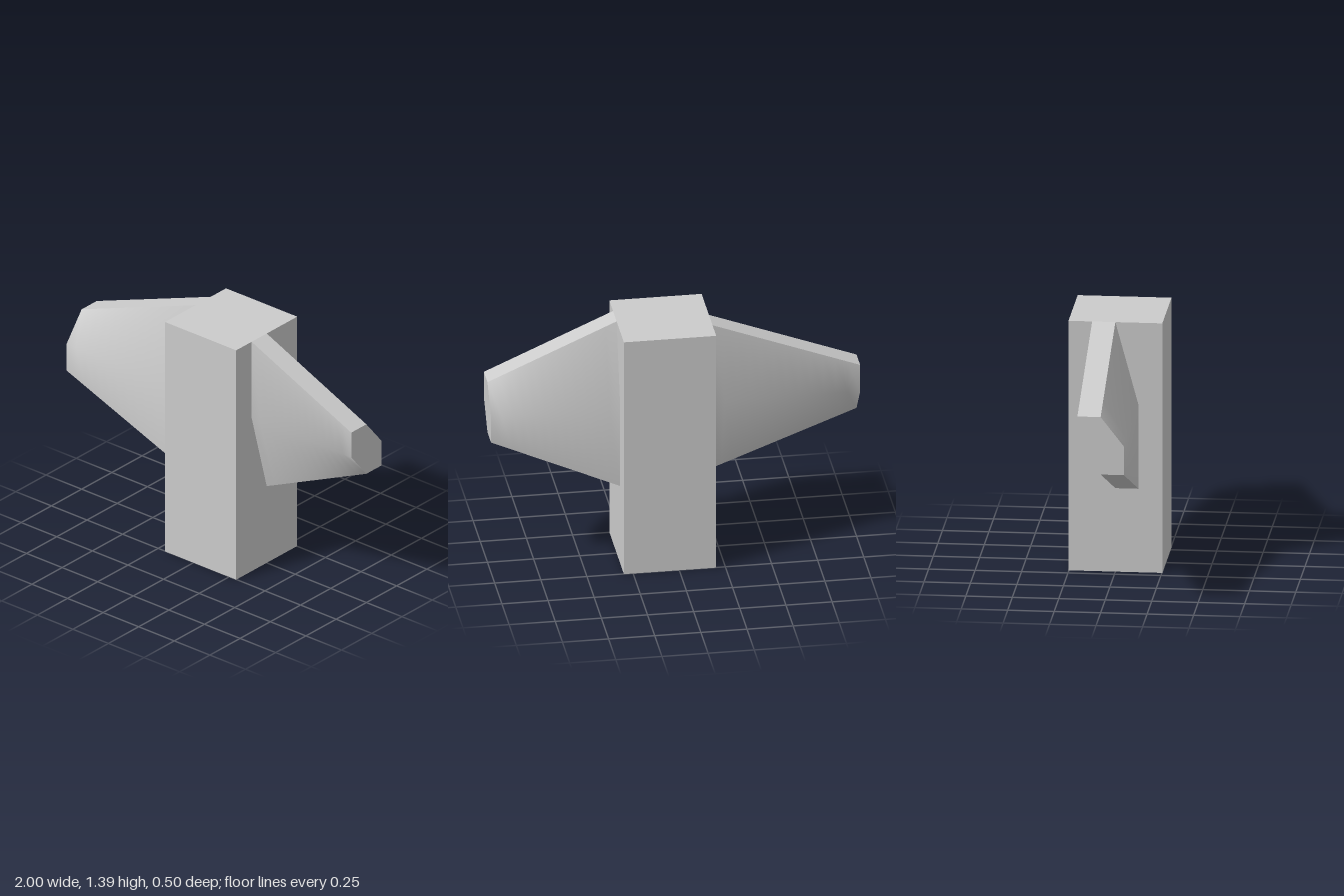
import * as THREE from 'three';
import { toCreasedNormals } from 'three/addons/utils/BufferGeometryUtils.js';

const MID = 0.93; // height of the unmoving mid crease
const HALF = 0.125; // half thickness of a blade

// Skewed hexagonal section as [z, y], for a given top and bottom height
const section = (top, bottom) => [
  [HALF, top], [0, top], [-HALF, MID],
  [-HALF, bottom], [0, bottom], [HALF, MID],
];

// Tapering blade along +x, lofted from root section to tip section
function bladeGeometry(rootX, tipX, tipTop, tipBottom, segments = 12) {
  const positions = [];
  const index = [];
  for (let s = 0; s <= segments; s++) {
    const t = s / segments;
    const x = THREE.MathUtils.lerp(rootX, tipX, t);
    const top = THREE.MathUtils.lerp(1.39, tipTop, t);
    const bottom = THREE.MathUtils.lerp(0.465, tipBottom, t);
    for (const [z, y] of section(top, bottom)) positions.push(x, y, z);
  }
  for (let s = 0; s < segments; s++) {
    for (let i = 0; i < 6; i++) {
      const a = s * 6 + i;
      const b = s * 6 + ((i + 1) % 6);
      index.push(a, a + 6, b, b, a + 6, b + 6);
    }
  }
  // Flat tip
  const tip = segments * 6;
  for (let i = 1; i < 5; i++) index.push(tip, tip + i + 1, tip + i);

  const geometry = new THREE.BufferGeometry();
  geometry.setAttribute('position', new THREE.Float32BufferAttribute(positions, 3));
  geometry.setIndex(index);
  return toCreasedNormals(geometry, 0.75);
}

export function createModel() {
  const group = new THREE.Group();
  const material = new THREE.MeshStandardMaterial({ color: 0xcccccc });

  function add(name, geometry) {
    const mesh = new THREE.Mesh(geometry, material);
    mesh.name = name;
    group.add(mesh);
    return mesh;
  }

  // Square hub post
  add('post', new THREE.BoxGeometry(0.5, 1.39, 0.505)).position.set(0.05, 0.695, 0);

  // Two blades, the second turned half way round the upright axis
  add('leftBlade', bladeGeometry(0.3, 1, 1.08, 0.78));
  add('rightBlade', bladeGeometry(0.2, 1, 1.09, 0.77)).rotation.y = Math.PI;

  return group;
}
